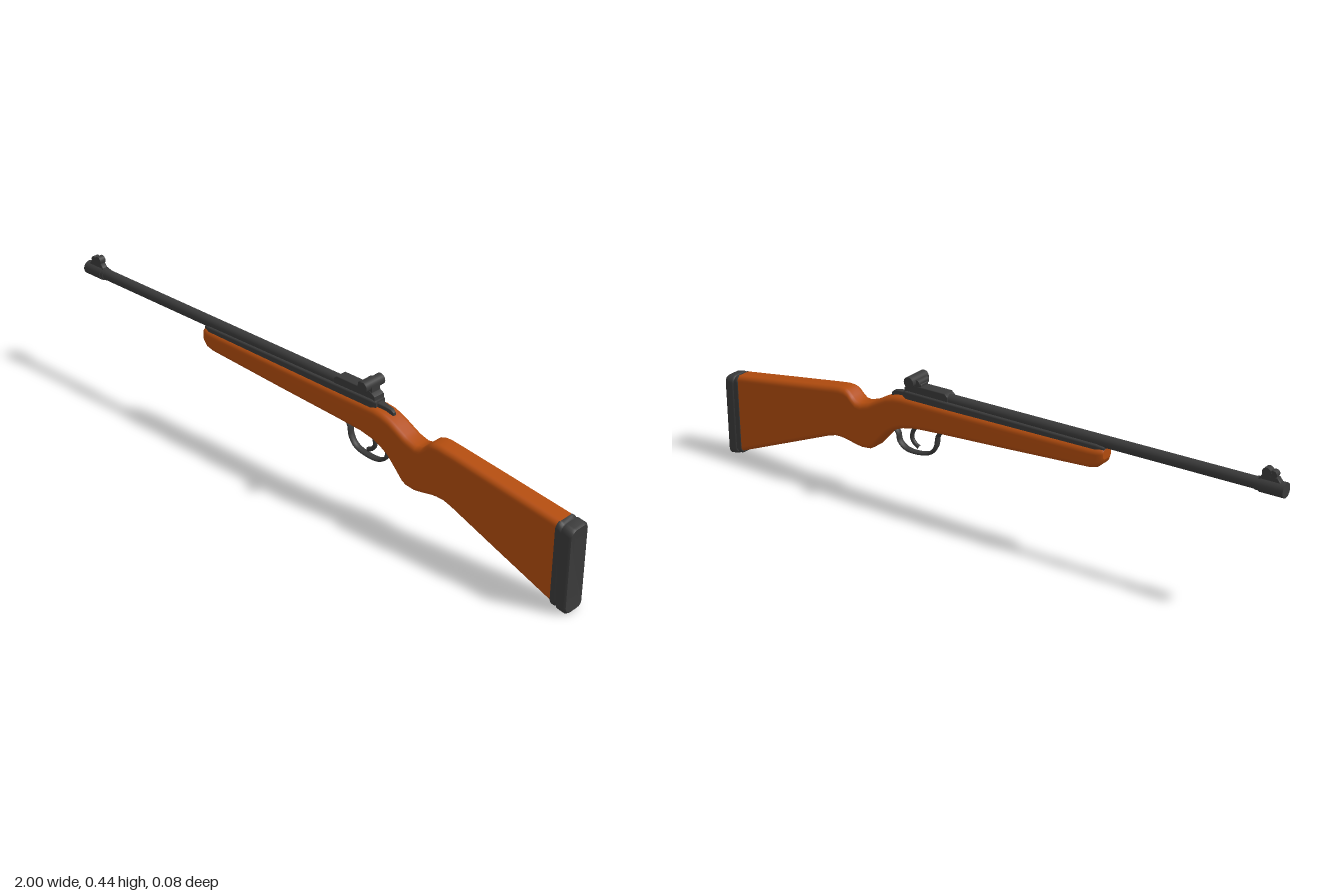
import * as THREE from 'three';

const wood = new THREE.MeshStandardMaterial({ color: 0xb24c0e });
wood.name = 'orange wood';
const steel = new THREE.MeshStandardMaterial({ color: 0x3a3a3a });
steel.name = 'dark steel';

// Rounded-rectangle ring in the z/y plane
function ring(top, bottom, halfWidth, radius) {
  const pts = [];
  const r = Math.min(radius, halfWidth * 0.98, (top - bottom) * 0.49);
  for (let k = 0; k < 4; k++) {
    const cz = (k === 0 || k === 3 ? 1 : -1) * (halfWidth - r);
    const cy = k < 2 ? top - r : bottom + r;
    for (let i = 0; i <= 5; i++) {
      const t = (k + i / 5) * Math.PI / 2;
      pts.push([cz + r * Math.cos(t), cy + r * Math.sin(t)]);
    }
  }
  return pts;
}

// Skin over sections [x, top, bottom, halfWidth, radius]; bend(y) shifts x
function loft(name, material, sections, bend = () => 0) {
  const pos = [], idx = [], n = 24;
  const addRing = ([x, ...rest]) => {
    const start = pos.length / 3;
    for (const [z, y] of ring(...rest)) pos.push(x + bend(y, x), y, z);
    return start;
  };
  const starts = sections.map(addRing);
  for (let s = 0; s < starts.length - 1; s++) {
    for (let j = 0; j < n; j++) {
      const k = (j + 1) % n, a = starts[s], b = starts[s + 1];
      idx.push(a + j, b + j, a + k, a + k, b + j, b + k);
    }
  }
  // End caps with their own vertices, so the rims stay crisp
  [sections[0], sections[sections.length - 1]].forEach((sec, end) => {
    const a = addRing(sec), c = pos.length / 3, mid = (sec[1] + sec[2]) / 2;
    pos.push(sec[0] + bend(mid, sec[0]), mid, 0);
    for (let j = 0; j < n; j++) {
      const k = (j + 1) % n;
      if (end) idx.push(c, a + k, a + j);
      else idx.push(c, a + j, a + k);
    }
  });
  const g = new THREE.BufferGeometry();
  g.setAttribute('position', new THREE.Float32BufferAttribute(pos, 3));
  g.setIndex(idx);
  g.computeVertexNormals();
  const m = new THREE.Mesh(g, material);
  m.name = name;
  return m;
}

// Cylinder lying along x or z
function rod(name, radius, length, axis, x, y) {
  const g = new THREE.CylinderGeometry(radius, radius, length, 24);
  if (axis === 'x') g.rotateZ(Math.PI / 2);
  else g.rotateX(Math.PI / 2);
  const m = new THREE.Mesh(g, steel);
  m.name = name;
  m.position.set(x, y, 0);
  return m;
}

// Bent bar through points in the x/y plane, widened sideways
function bar(name, points, radius, widen) {
  const curve = new THREE.CatmullRomCurve3(points.map(([x, y]) => new THREE.Vector3(x, y, 0)));
  const m = new THREE.Mesh(new THREE.TubeGeometry(curve, 40, radius, 10), steel);
  m.name = name;
  m.scale.z = widen;
  return m;
}

export function createModel() {
  const model = new THREE.Group();
  model.name = 'rifle';

  // Wooden stock from fore-end to butt
  model.add(loft('stock', wood, [
    [-0.436, 0.37, 0.34, 0.022, 0.012],
    [-0.43, 0.372, 0.325, 0.027, 0.015],
    [-0.415, 0.372, 0.312, 0.031, 0.018],
    [-0.39, 0.371, 0.307, 0.033, 0.018],
    [-0.1, 0.369, 0.292, 0.036, 0.018],
    [0.14, 0.368, 0.28, 0.037, 0.018],
    [0.23, 0.368, 0.274, 0.037, 0.018],
    [0.28, 0.368, 0.264, 0.037, 0.018],
    [0.31, 0.364, 0.252, 0.037, 0.018],
    [0.34, 0.354, 0.232, 0.036, 0.018],
    [0.37, 0.338, 0.2, 0.036, 0.018],
    [0.395, 0.324, 0.172, 0.036, 0.018],
    [0.41, 0.317, 0.163, 0.036, 0.018],
    [0.44, 0.308, 0.16, 0.036, 0.018],
    [0.46, 0.311, 0.163, 0.036, 0.018],
    [0.476, 0.324, 0.166, 0.036, 0.018],
    [0.49, 0.338, 0.169, 0.036, 0.018],
    [0.505, 0.343, 0.172, 0.036, 0.018],
    [0.525, 0.344, 0.174, 0.036, 0.018],
    [0.55, 0.341, 0.173, 0.036, 0.018],
    [0.58, 0.337, 0.164, 0.036, 0.018],
    [0.75, 0.313, 0.097, 0.037, 0.018],
    [0.95, 0.285, 0.018, 0.037, 0.018],
  ]));

  // Butt plate: spacer, groove and pad with a hollowed rear face
  model.add(loft('buttSpacer', steel, [
    [0.944, 0.282, 0.016, 0.038, 0.02],
    [0.947, 0.285, 0.013, 0.04, 0.02],
    [0.957, 0.284, 0.011, 0.04, 0.02],
    [0.96, 0.278, 0.016, 0.037, 0.02],
    [0.966, 0.278, 0.014, 0.037, 0.02],
  ]));
  const hollow = (y, x) => x < 0.98 ? 0 : -0.009 * Math.max(0, 1 - ((y - 0.14) / 0.13) ** 2);
  const pad = loft('buttPad', steel, [
    [0.964, 0.278, 0.01, 0.037, 0.02],
    [0.968, 0.283, 0.006, 0.041, 0.022],
    [0.993, 0.279, 0.002, 0.041, 0.022],
    [1.0, 0.274, 0.006, 0.036, 0.02],
  ], hollow);
  model.add(pad);

  // Receiver bedded into the stock, and the cocking piece behind it
  model.add(loft('receiver', steel, [
    [-0.435, 0.378, 0.355, 0.016, 0.006],
    [-0.41, 0.383, 0.355, 0.024, 0.006],
    [0.1, 0.388, 0.355, 0.027, 0.006],
    [0.265, 0.39, 0.355, 0.027, 0.006],
    [0.28, 0.386, 0.355, 0.02, 0.006],
  ]));
  model.add(loft('cockingPiece', steel, [
    [0.27, 0.382, 0.35, 0.014, 0.005],
    [0.305, 0.378, 0.35, 0.009, 0.004],
    [0.325, 0.374, 0.35, 0.007, 0.003],
    [0.335, 0.366, 0.345, 0.005, 0.003],
  ]));

  // Barrel and muzzle sleeve
  model.add(rod('barrel', 0.018, 1.22, 'x', -0.35, 0.39));
  model.add(rod('muzzleSleeve', 0.0225, 0.076, 'x', -0.962, 0.39));
  model.add(rod('muzzleCollar', 0.02, 0.014, 'x', -0.919, 0.39));

  // Front sight: ramp with two rounded uprights
  model.add(loft('frontSightRamp', steel, [
    [-0.985, 0.412, 0.39, 0.01, 0.004],
    [-0.975, 0.424, 0.39, 0.01, 0.004],
    [-0.93, 0.424, 0.39, 0.01, 0.004],
    [-0.92, 0.412, 0.39, 0.01, 0.004],
  ]));
  model.add(rod('frontSightPost', 0.011, 0.02, 'z', -0.963, 0.43));
  model.add(rod('frontSightHood', 0.014, 0.022, 'z', -0.943, 0.432));

  // Rear sight: base, neck, knobs across
  model.add(loft('rearSightBase', steel, [
    [0.115, 0.404, 0.38, 0.02, 0.003],
    [0.125, 0.413, 0.38, 0.02, 0.003],
    [0.255, 0.413, 0.38, 0.02, 0.003],
    [0.275, 0.4, 0.38, 0.02, 0.003],
  ]));
  model.add(loft('rearSightNeck', steel, [
    [0.213, 0.42, 0.4, 0.018, 0.003],
    [0.22, 0.43, 0.4, 0.018, 0.003],
    [0.262, 0.43, 0.4, 0.018, 0.003],
  ]));
  model.add(rod('rearSightCrossbar', 0.0175, 0.08, 'z', 0.244, 0.4275));
  model.add(rod('rearSightScrew', 0.011, 0.05, 'z', 0.225, 0.424));

  // Trigger guard and trigger
  model.add(bar('triggerGuard', [
    [0.145, 0.278], [0.162, 0.262], [0.17, 0.225], [0.19, 0.198], [0.235, 0.185],
    [0.285, 0.188], [0.31, 0.208], [0.316, 0.235], [0.33, 0.25],
  ], 0.006, 2));
  model.add(bar('trigger', [
    [0.245, 0.275], [0.26, 0.25], [0.263, 0.228], [0.252, 0.212], [0.236, 0.203],
  ], 0.007, 1));

  return model;
}
